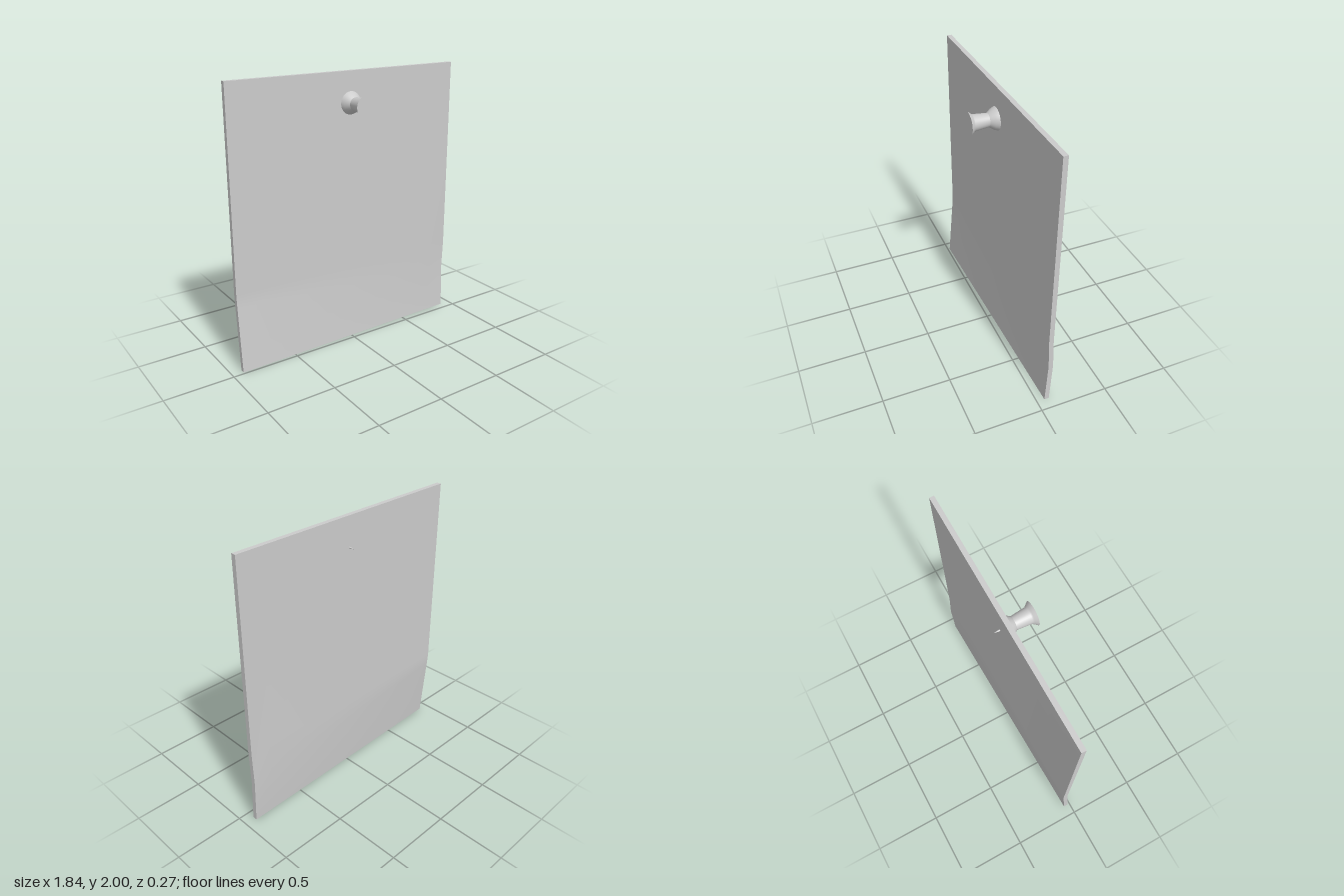
import * as THREE from 'three';

const material = new THREE.MeshStandardMaterial({ color: 0xcccccc });
const lerp = THREE.MathUtils.lerp;

function addMesh(parent, name, geometry) {
  const mesh = new THREE.Mesh(geometry, material);
  mesh.name = name;
  parent.add(mesh);
  return mesh;
}

// Thin sheet whose lower edge curls forward, more strongly on its right side
function sheetGeometry() {
  const width = 1.84, front = -0.062, back = -0.096;
  const geometry = new THREE.BoxGeometry(width, 3, 1, 12, 3, 1);
  const pos = geometry.attributes.position;
  for (let i = 0; i < pos.count; i++) {
    const t = pos.getX(i) / width + 0.5;
    const row = Math.round(pos.getY(i) + 1.5); // 0 = bottom edge, 3 = top edge
    const y = [0, lerp(0.48, 0.33, t), 0.57, 2][row];
    const bend = [lerp(0.047, 0.004, t), lerp(0.006, -0.01, t), 0, 0][row];
    pos.setY(i, y);
    pos.setZ(i, (pos.getZ(i) > 0 ? front : back) + bend);
  }
  geometry.computeVertexNormals();
  return geometry;
}

// Turned shape along z from [radius, z] pairs running from back to front
function turned(profile) {
  const points = profile.map(([r, z]) => new THREE.Vector2(r, z));
  return new THREE.LatheGeometry(points, 32).rotateX(Math.PI / 2);
}

export function createModel() {
  const model = new THREE.Group();
  model.name = 'pinnedNote';
  addMesh(model, 'paperSheet', sheetGeometry());

  // Push pin; separate turned parts keep the rims sharp
  const pin = new THREE.Group();
  pin.name = 'pushPin';
  pin.position.set(0.012, 1.78, 0);
  model.add(pin);
  addMesh(pin, 'pinBase', turned([[0, -0.058], [0.081, -0.058]]));
  addMesh(pin, 'pinCollar', turned([[0.081, -0.058], [0.07, -0.032], [0.047, 0]]));
  addMesh(pin, 'pinGrip', turned([[0.047, 0], [0.057, 0.105], [0.066, 0.115], [0.083, 0.137]]));
  addMesh(pin, 'pinCap', turned([[0.083, 0.137], [0, 0.137]]));
  addMesh(pin, 'pinNeedle', turned([[0, -0.137], [0.006, -0.108], [0.006, -0.056]]));
  return model;
}
